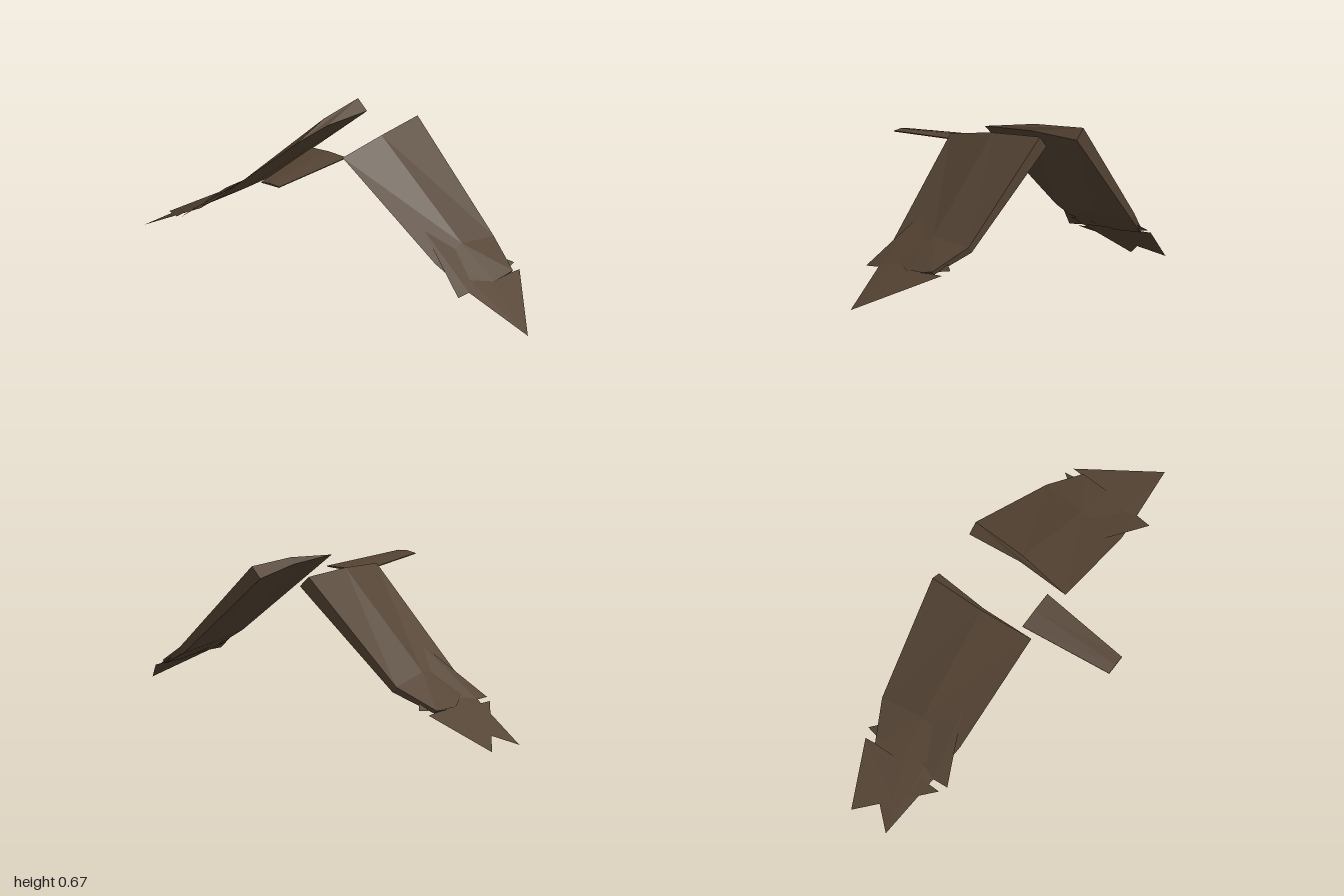
import * as THREE from 'three';

const brown = new THREE.MeshStandardMaterial({ color: 0x544333, side: THREE.DoubleSide });

function meshFrom(name, triangles, mirrored) {
  const positions = [];
  for (const [a, b, c] of triangles) {
    for (const p of mirrored ? [a, c, b] : [a, b, c]) {
      positions.push(p[0], p[1], mirrored ? -p[2] : p[2]);
    }
  }
  const geometry = new THREE.BufferGeometry();
  geometry.setAttribute('position', new THREE.Float32BufferAttribute(positions, 3));
  geometry.computeVertexNormals();
  const mesh = new THREE.Mesh(geometry, brown);
  mesh.name = name;
  return mesh;
}

// Closed faceted body through a list of cross-sections
function loft(name, rings, mirrored = false) {
  const tris = [];
  const n = rings[0].length;
  for (let i = 0; i < rings.length - 1; i++) {
    const r = rings[i], s = rings[i + 1];
    for (let k = 0; k < n; k++) {
      const m = (k + 1) % n;
      tris.push([r[k], r[m], s[k]], [r[m], s[m], s[k]]);
    }
  }
  const first = rings[0], last = rings[rings.length - 1];
  for (let k = 1; k < n - 1; k++) {
    tris.push([first[0], first[k + 1], first[k]], [last[0], last[k], last[k + 1]]);
  }
  return meshFrom(name, tris, mirrored);
}

// Flat feather plate, fanned from its first corner
function feather(name, corners, mirrored) {
  const tris = [];
  for (let k = 1; k < corners.length - 1; k++) tris.push([corners[0], corners[k], corners[k + 1]]);
  return meshFrom(name, tris, mirrored);
}

// Sections: leading outer, middle outer, trailing, middle inner, leading inner
const wingSections = [
  [[0.42, 0.667, 0.155], [0.17, 0.662, 0.15], [-0.07, 0.635, 0.122], [0.17, 0.635, 0.13], [0.42, 0.62, 0.108]],
  [[0.367, 0.245, 0.59], [0.17, 0.272, 0.57], [-0.03, 0.25, 0.575], [0.17, 0.235, 0.565], [0.367, 0.22, 0.57]],
  [[0.29, 0.152, 0.747], [0.16, 0.146, 0.745], [-0.015, 0.195, 0.655], [0.16, 0.138, 0.738], [0.29, 0.138, 0.737]],
];

const tipFeather = [
  [0.05, 0, 1], [0.34, 0.14, 0.745], [0.15, 0.149, 0.732], [0.06, 0.192, 0.655], [-0.015, 0.187, 0.657],
];
const sideFeather = [
  [0.045, 0.362, 0.45], [-0.07, 0.145, 0.725], [0, 0.147, 0.73], [0.3, 0.15, 0.715], [0.355, 0.157, 0.705], [0.12, 0.27, 0.56],
];
const extraFeather = [[0.23, 0, 1], [0.34, 0.14, 0.745], [-0.05, 0.135, 0.757]];

function wing(name, mirrored) {
  const group = new THREE.Group();
  group.name = name;
  group.add(
    loft('wingPanel', wingSections, mirrored),
    feather('tipFeather', tipFeather, mirrored),
    feather('sideFeather', sideFeather, mirrored),
  );
  if (mirrored) group.add(feather('extraTipFeather', extraFeather, true));
  return group;
}

// Thin tail, slightly ridged along its middle
const tailSection = (x, half) => [
  [x, 0.604, half], [x, 0.609, 0], [x, 0.604, -half], [x, 0.6, -half], [x, 0.6, half],
];

export function createModel() {
  const model = new THREE.Group();
  model.name = 'wingsAndTail';
  model.add(
    wing('frontWing', false),
    wing('backWing', true),
    loft('tail', [tailSection(0, 0.09), tailSection(-0.42, 0.046)]),
  );
  return model;
}
